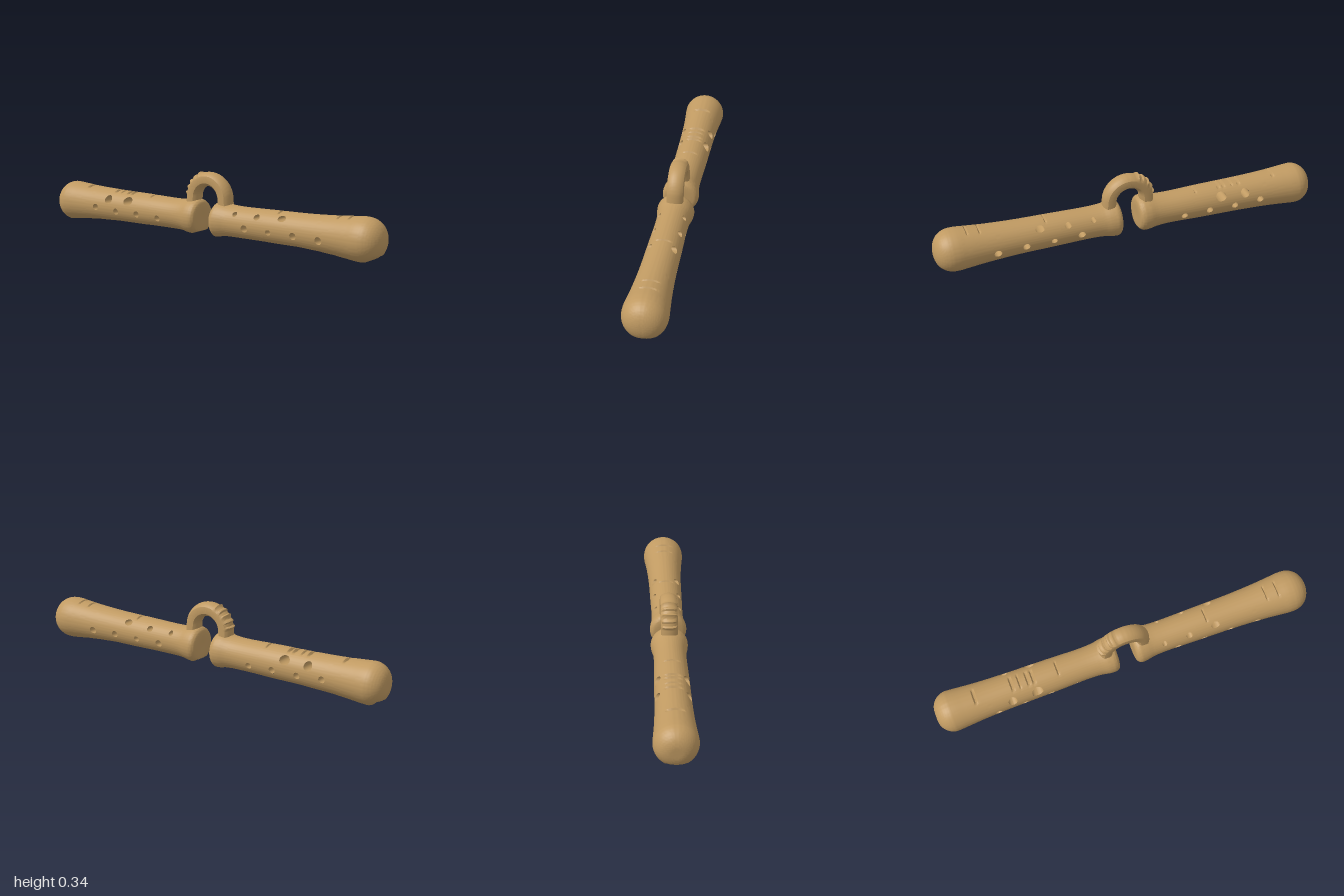
import * as THREE from 'three';
import { toCreasedNormals } from 'three/addons/utils/BufferGeometryUtils.js';

const AXIS_Y = 0.1;   // height of the stick axis
const RINGS = 160, SIDES = 88;

// Stick outlines as [x, radius], from low x to high x
const LEFT_ON_PAGE = [[-1, 0], [-0.998, 0.04], [-0.985, 0.07], [-0.96, 0.093], [-0.93, 0.104], [-0.9, 0.104], [-0.85, 0.1],
  [-0.75, 0.093], [-0.6, 0.088], [-0.4, 0.085], [-0.2, 0.081], [-0.14, 0.085], [-0.1, 0.092], [-0.065, 0.091], [-0.05, 0.08], [-0.045, 0.06], [-0.045, 0]];
const RIGHT_ON_PAGE = [[0.045, 0], [0.045, 0.06], [0.05, 0.08], [0.065, 0.092], [0.1, 0.091], [0.14, 0.084], [0.2, 0.081],
  [0.4, 0.084], [0.6, 0.088], [0.75, 0.096], [0.84, 0.104], [0.89, 0.108], [0.93, 0.104], [0.965, 0.086], [0.987, 0.058], [0.998, 0.025], [1, 0]];

// Holes bored front to back: [x, y, half width, half height]
const LEFT_HOLES = [[-0.7, 0.096, 0.018, 0.017], [-0.617, 0.142, 0.023, 0.022], [-0.56, 0.085, 0.017, 0.017],
  [-0.485, 0.145, 0.029, 0.021], [-0.42, 0.085, 0.017, 0.017], [-0.283, 0.078, 0.017, 0.016]];
const RIGHT_HOLES = [[0.2, 0.15, 0.013, 0.012], [0.267, 0.088, 0.019, 0.018], [0.333, 0.15, 0.017, 0.013],
  [0.41, 0.086, 0.016, 0.014], [0.476, 0.158, 0.023, 0.013], [0.553, 0.086, 0.018, 0.018], [0.698, 0.083, 0.02, 0.019]];

// Shallow saw cuts across the top
const LEFT_CUTS = [-0.79, -0.595, -0.56, -0.515, -0.485, -0.36];
const RIGHT_CUTS = [0.44, 0.77, 0.83];

function makeStick(name, outline, holes, cuts, material) {
  const group = new THREE.Group();
  group.name = name;
  const curve = new THREE.CatmullRomCurve3(outline.map(([x, r]) => new THREE.Vector3(x, r, 0)));
  const rings = curve.getSpacedPoints(RINGS);
  const radiusAt = (x) => {
    for (let i = 1; i < rings.length; i++) {
      const a = rings[i - 1], b = rings[i];
      if (x >= a.x && x <= b.x && b.x > a.x) return a.y + (b.y - a.y) * (x - a.x) / (b.x - a.x);
    }
    return 0;
  };
  const depthAt = (x, y) => Math.sqrt(Math.max(0, radiusAt(x) ** 2 - (y - AXIS_Y) ** 2));

  // Round body with a flattened underside; grid points inside a hole move to its rim
  const points = [], onRim = [], index = [];
  for (const ring of rings) {
    const r = Math.max(0, ring.y);
    const floor = AXIS_Y - Math.max(0.068, 0.068 + (r - 0.087) * 1.55);
    const cut = cuts.some((c) => Math.abs(ring.x - c) < 0.005);
    for (let j = 0; j < SIDES; j++) {
      const a = (j / SIDES) * Math.PI * 2;
      let x = ring.x, y = Math.max(floor, AXIS_Y + r * Math.cos(a)), z = r * Math.sin(a), rim = false;
      if (cut) y = Math.min(y, AXIS_Y + r - 0.012);
      for (const [hx, hy, rx, ry] of holes) {
        const d = Math.hypot((x - hx) / rx, (y - hy) / ry);
        if (d >= 1 || d < 1e-6) continue;
        x = hx + (x - hx) / d;
        y = hy + (y - hy) / d;
        z = Math.sign(z) * depthAt(x, y);
        rim = true;
      }
      points.push(x, y, z);
      onRim.push(rim);
    }
  }
  const addFace = (a, b, c) => {
    if (!(onRim[a] && onRim[b] && onRim[c])) index.push(a, b, c);
  };
  for (let i = 0; i < RINGS; i++) {
    for (let j = 0; j < SIDES; j++) {
      const a = i * SIDES + j, b = i * SIDES + (j + 1) % SIDES;
      addFace(a, b, a + SIDES);
      addFace(b, b + SIDES, a + SIDES);
    }
  }
  const geometry = new THREE.BufferGeometry();
  geometry.setAttribute('position', new THREE.Float32BufferAttribute(points, 3));
  geometry.setIndex(index);
  const body = new THREE.Mesh(toCreasedNormals(geometry, 0.6), material);
  body.name = 'stickBody';
  group.add(body);

  // Inward-facing hole walls, fitted to the curved surface at both ends
  for (const [hx, hy, rx, ry] of holes) {
    const wall = new THREE.CylinderGeometry(1, 1, 2, 24, 1, true).rotateX(Math.PI / 2).scale(-1, 1, 1);
    const p = wall.attributes.position;
    for (let i = 0; i < p.count; i++) {
      const x = hx + p.getX(i) * rx, y = hy + p.getY(i) * ry;
      p.setXYZ(i, x, y, Math.sign(p.getZ(i)) * depthAt(x, y));
    }
    wall.computeVertexNormals();
    const mesh = new THREE.Mesh(wall, material);
    mesh.name = 'holeWall';
    group.add(mesh);
  }
  return group;
}

// Arched link with a rounded-square section and a few teeth on one shoulder
function makeLink(material) {
  const path = [new THREE.Vector3(-0.1, 0.15, 0)];
  for (let i = 0; i <= 12; i++) {
    const a = Math.PI * (1 - i / 12);
    path.push(new THREE.Vector3(0.097 * Math.cos(a), 0.203 + 0.097 * Math.sin(a), 0));
  }
  path.push(new THREE.Vector3(0.1, 0.15, 0));
  const geometry = new THREE.TubeGeometry(new THREE.CatmullRomCurve3(path), 80, 0.036, 24, false);
  const p = geometry.attributes.position;
  const centre = new THREE.Vector2(0, 0.203);
  for (let i = 0; i < p.count; i++) {
    let x = p.getX(i), y = p.getY(i);
    const z = p.getZ(i);
    const dx = x - centre.x, dy = y - centre.y, dist = Math.hypot(dx, dy);
    const angle = Math.atan2(dy, dx);
    if (dist > 0.115 && angle > 1.9 && angle < 3.1) {
      const push = 1 + 0.07 * Math.max(0, Math.sin(angle * 26));
      x = centre.x + dx * push;
      y = centre.y + dy * push;
    }
    p.setXYZ(i, x, y, Math.sign(z) * Math.min(0.042, Math.abs(z) * 1.3));
  }
  const mesh = new THREE.Mesh(toCreasedNormals(geometry, 0.6), material);
  mesh.name = 'archedLink';
  return mesh;
}

export function createModel() {
  const wood = new THREE.MeshStandardMaterial({ color: 0xc09a62 });
  wood.name = 'tanWood';
  const model = new THREE.Group();
  model.name = 'linkedSticks';
  model.add(
    makeStick('rightStick', LEFT_ON_PAGE, LEFT_HOLES, LEFT_CUTS, wood),
    makeStick('leftStick', RIGHT_ON_PAGE, RIGHT_HOLES, RIGHT_CUTS, wood),
    makeLink(wood),
  );
  return model;
}
